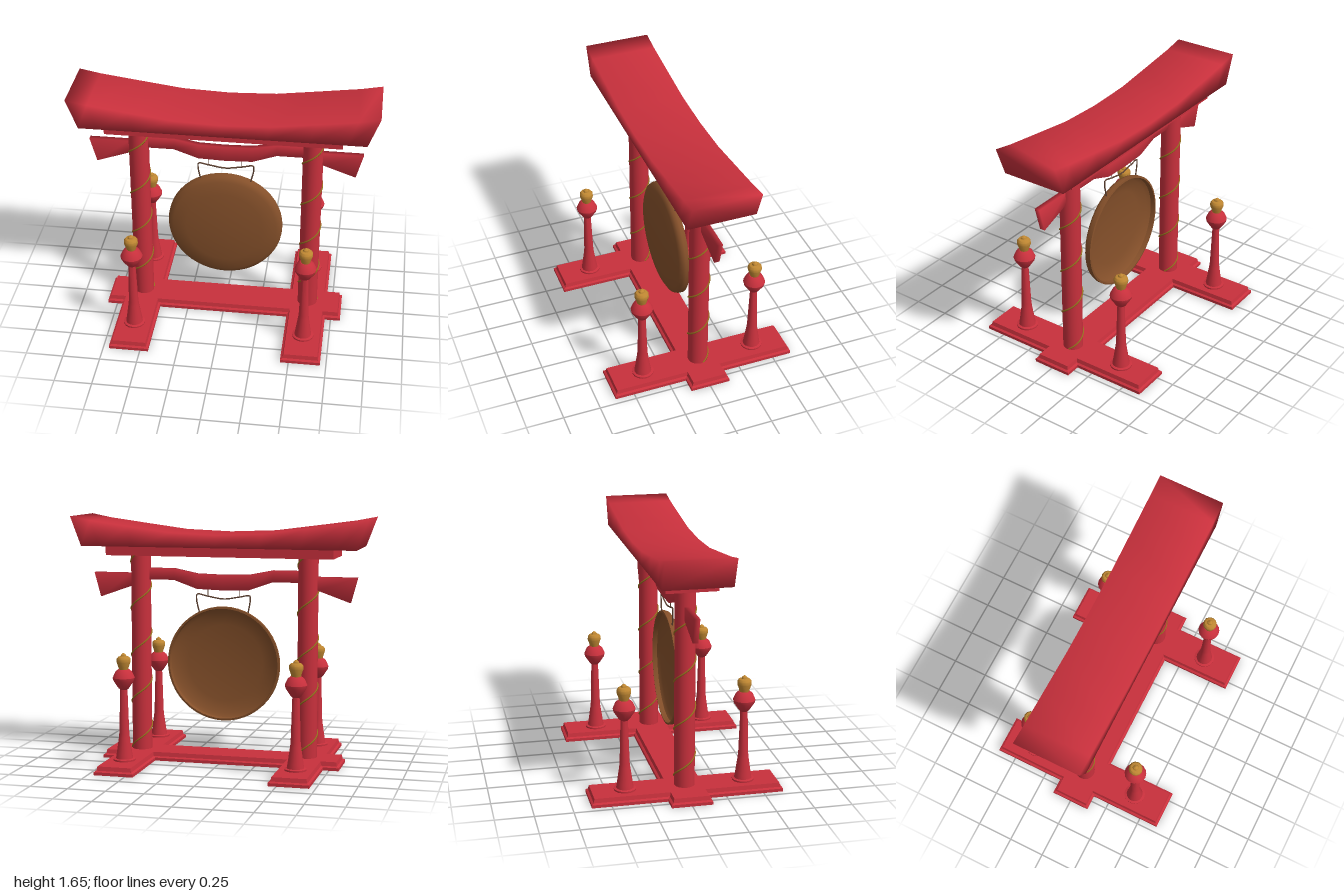
import * as THREE from 'three';
import { toCreasedNormals } from 'three/addons/utils/BufferGeometryUtils.js';

const mat = (color, side = THREE.FrontSide) => new THREE.MeshStandardMaterial({ color, side });
const V = (x, y, z) => new THREE.Vector3(x, y, z);

// Four-cornered beam along x; each section is [xTop, yTop, xBottom, yBottom], given for x >= 0 and mirrored
function beamGeometry(half, depth) {
  const left = half.slice(1).reverse().map(([a, b, c, d]) => [-a, b, -c, d]);
  const sections = [...left, ...half];
  const pos = [], idx = [];
  for (const [xt, yt, xb, yb] of sections) {
    pos.push(xt, yt, depth, xt, yt, -depth, xb, yb, -depth, xb, yb, depth);
  }
  for (let i = 0; i < sections.length - 1; i++) {
    for (let k = 0; k < 4; k++) {
      const a = i * 4 + k, d = i * 4 + (k + 1) % 4, b = a + 4, c = d + 4;
      idx.push(a, b, c, a, c, d);
    }
  }
  const e = (sections.length - 1) * 4;
  idx.push(0, 1, 2, 0, 2, 3, e, e + 3, e + 2, e, e + 2, e + 1);
  const g = new THREE.BufferGeometry();
  g.setAttribute('position', new THREE.Float32BufferAttribute(pos, 3));
  g.setIndex(idx);
  g.computeVertexNormals();
  return g;
}

// Outline of the base (two feet joined by a crossbar), moved inwards by d
function baseOutline(d) {
  const quarter = [[0.815, 0.135], [0.71, 0.135], [0.71, 0.63], [0.445, 0.63], [0.445, 0.135]]
    .map(([x, z]) => [x + (x < 0.5 ? d : -d), z - d]);
  const back = [...quarter].reverse();
  return [
    ...quarter,
    ...back.map(([x, z]) => [-x, z]),
    ...quarter.map(([x, z]) => [-x, -z]),
    ...back.map(([x, z]) => [x, -z]),
  ];
}

// Moulded walls of the base, from the recessed underside round to the top
function baseWalls(profile) {
  const pos = [];
  for (let r = 0; r < profile.length - 1; r++) {
    const lo = baseOutline(profile[r][0]), hi = baseOutline(profile[r + 1][0]);
    const y0 = profile[r][1], y1 = profile[r + 1][1];
    lo.forEach((p, i) => {
      const j = (i + 1) % lo.length;
      const L0 = [p[0], y0, p[1]], L1 = [lo[j][0], y0, lo[j][1]];
      const U0 = [hi[i][0], y1, hi[i][1]], U1 = [hi[j][0], y1, hi[j][1]];
      pos.push(...L0, ...U0, ...L1, ...U0, ...U1, ...L1);
    });
  }
  const g = new THREE.BufferGeometry();
  g.setAttribute('position', new THREE.Float32BufferAttribute(pos, 3));
  g.computeVertexNormals();
  return g;
}

function baseCap(inset, y, up) {
  const shape = new THREE.Shape(baseOutline(inset).map(([x, z]) => new THREE.Vector2(x, z)));
  return new THREE.ShapeGeometry(shape).rotateX(up ? -Math.PI / 2 : Math.PI / 2).translate(0, y, 0);
}

// Turned part from [radius, y] points
function turned(points, sides, crease = 0.6) {
  const g = new THREE.LatheGeometry(points.map(([r, y]) => new THREE.Vector2(r, y)), sides);
  return toCreasedNormals(g, crease);
}

export function createModel() {
  const model = new THREE.Group();
  const red = mat(0xc8303c), gold = mat(0xbf8732), rope = mat(0x9a7020);
  const bronze = mat(0x85502a, THREE.DoubleSide), wire = mat(0x5e4232);
  const add = (name, geometry, material, parent = model) => {
    const m = new THREE.Mesh(geometry, material);
    m.name = name;
    parent.add(m);
    return m;
  };

  // Base
  const base = new THREE.Group();
  base.name = 'base';
  model.add(base);
  add('baseWalls', baseWalls([[0.04, 0.025], [0.035, 0], [0, 0], [0, 0.02], [0.014, 0.028], [0.02, 0.055]]), red, base);
  add('baseTop', baseCap(0.02, 0.055, true), red, base);
  add('baseUnderside', baseCap(0.04, 0.025, false), red, base);

  // Pillars with a spiral cord
  const pitch = 0.32, cordPoints = [];
  for (let i = 0; i <= 100; i++) {
    const y = 0.06 + 1.335 * i / 100;
    const a = (y - 0.29) / pitch * Math.PI * 2 - Math.PI / 2;
    cordPoints.push(V(0.068 * Math.cos(a), y, -0.068 * Math.sin(a)));
  }
  const cord = new THREE.TubeGeometry(new THREE.CatmullRomCurve3(cordPoints), 200, 0.006, 6);
  const pillar = new THREE.CylinderGeometry(0.067, 0.067, 1.39, 24).translate(0, 0.705, 0);
  for (const s of [-1, 1]) {
    add('pillar', pillar, red).position.x = s * 0.577;
    add('pillarCord', cord, rope).position.x = s * 0.577;
  }

  // Four corner posts with bulb finials
  const post = turned([[0, 0.01], [0.07, 0.01], [0.073, 0.066], [0.057, 0.07], [0.052, 0.1], [0.036, 0.21],
    [0.033, 0.24], [0.024, 0.53], [0.035, 0.54], [0.068, 0.59], [0.073, 0.61], [0.055, 0.65], [0.036, 0.665], [0, 0.665]], 16);
  const bulb = turned([[0.03, 0.66], [0.035, 0.68], [0.047, 0.715], [0.046, 0.735], [0.036, 0.748],
    [0.02, 0.752], [0.017, 0.762], [0, 0.775]], 12);
  for (const x of [-0.577, 0.577]) {
    for (const z of [-0.393, 0.393]) {
      add('cornerPost', post, red).position.set(x, 0, z);
      add('postFinial', bulb, gold).position.set(x, 0, z);
    }
  }

  // Top beams
  add('lintel', new THREE.BoxGeometry(1.54, 0.075, 0.336).translate(0, 1.4325, 0), red);
  add('curvedRoofBeam', beamGeometry([[0, 1.543, 0, 1.458], [0.31, 1.555, 0.29, 1.458],
    [0.6, 1.593, 0.56, 1.458], [0.86, 1.628, 0.8, 1.458], [1, 1.655, 0.925, 1.458]], 0.222), red);
  add('crossBeam', beamGeometry([[0, 1.265, 0, 1.162], [0.18, 1.27, 0.18, 1.168], [0.34, 1.302, 0.34, 1.225],
    [0.52, 1.302, 0.52, 1.225], [0.64, 1.266, 0.64, 1.178], [0.905, 1.266, 0.86, 1.1]], 0.018), red);

  // Gong: shallow dish, domed at the front and hollow behind
  const dish = turned([[0.375, -0.012], [0.388, -0.01], [0.388, 0.015], [0.38, 0.035], [0.35, 0.052],
    [0.26, 0.067], [0.13, 0.077], [0, 0.08]], 48, 0.7);
  const hollow = turned([[0, 0.068], [0.13, 0.065], [0.26, 0.055], [0.345, 0.04], [0.37, 0.02], [0.375, -0.012]], 48, 0.7);
  for (const [name, g] of [['gongFace', dish], ['gongBack', hollow]]) {
    const m = add(name, g, bronze);
    m.rotation.x = Math.PI / 2;
    m.position.y = 0.663;
  }

  // Wire hanger
  const path = [[-0.165, 1.0], [-0.182, 1.1], [-0.178, 1.127], [-0.11, 1.118], [0, 1.102],
    [0.11, 1.118], [0.185, 1.13], [0.19, 1.1], [0.168, 1.0]].map(([x, y]) => V(x, y, 0.01));
  add('hangerWire', new THREE.TubeGeometry(new THREE.CatmullRomCurve3(path, false, 'centripetal'), 64, 0.005, 6), wire);
  for (const s of [-1, 1]) {
    add('hangerLink', new THREE.CylinderGeometry(0.0025, 0.0025, 0.06, 6), wire).position.set(s * 0.11, 1.145, 0.01);
  }
  return model;
}
